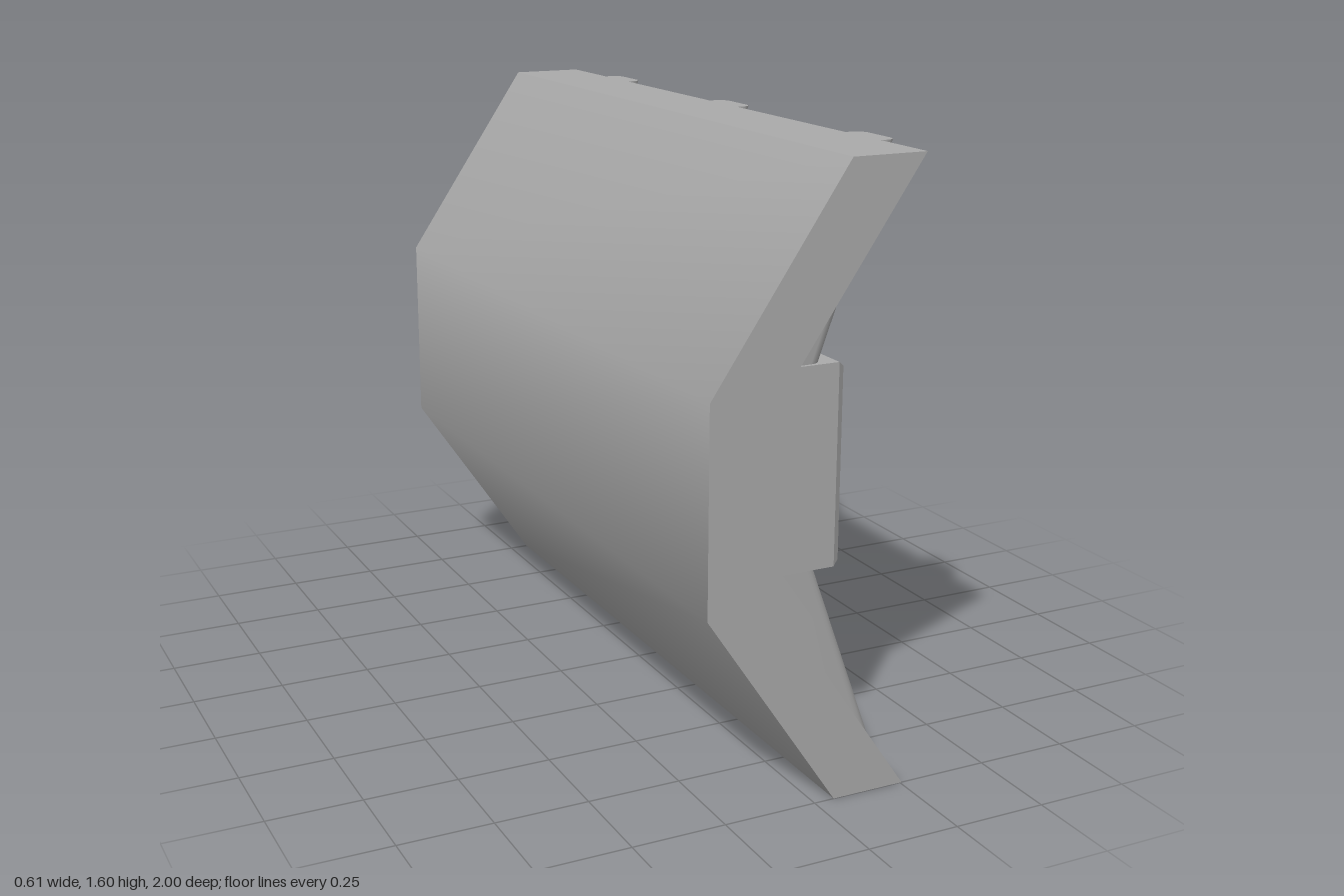
import * as THREE from 'three';
import { toCreasedNormals } from 'three/addons/utils/BufferGeometryUtils.js';

const H = 1.6, KNEE = 0.535;
const grey = new THREE.MeshStandardMaterial({ color: 0xaaaaaa });
grey.name = 'plain grey';

// Triangulates convex polygons; crease > 0 smooths edges below that angle.
function mesh(name, polys, crease = 0) {
  const pos = [];
  for (const p of polys) {
    for (let i = 1; i < p.length - 1; i++) pos.push(...p[0], ...p[i], ...p[i + 1]);
  }
  let geo = new THREE.BufferGeometry();
  geo.setAttribute('position', new THREE.Float32BufferAttribute(pos, 3));
  geo.computeVertexNormals();
  if (crease) geo = toCreasedNormals(geo, crease);
  const m = new THREE.Mesh(geo, grey);
  m.name = name;
  return m;
}

// Upside-down copy about mid height, with the corner order kept outward.
const flip = polys => polys.map(p => p.map(([x, y, z]) => [x, H - y, z]).reverse());

// Quads between successive closed loops of equal length.
function loft(loops) {
  const out = [];
  for (let k = 0; k < loops.length - 1; k++) {
    const a = loops[k], b = loops[k + 1], n = a.length;
    for (let i = 0; i < n; i++) out.push([a[i], a[(i + 1) % n], b[(i + 1) % n], b[i]]);
  }
  return out;
}

// Rectangle facing +x.
const rect = (x, y0, y1, z0, z1) => [[x, y0, z1], [x, y0, z0], [x, y1, z0], [x, y1, z1]];

// Rectangle on the lower sloped inner wall, sunk by depth d.
function slopeRect(s0, s1, z0, z1, d) {
  const at = (s, z) => [0.255 - 0.365 * s - 0.826 * d, KNEE * s - 0.563 * d, z];
  return [at(s0, z1), at(s0, z0), at(s1, z0), at(s1, z1)];
}

function wallShell() {
  const g = new THREE.Group();
  g.name = 'wallShell';

  // Outer skin, softly shaded over its two bends
  const back = [[0.055, 0], [-0.305, KNEE], [-0.305, H - KNEE], [0.055, H]];
  const skin = [];
  for (let i = 0; i < 3; i++) {
    const [x0, y0] = back[i], [x1, y1] = back[i + 1];
    skin.push([[x0, y0, -1], [x0, y0, 1], [x1, y1, 1], [x1, y1, -1]]);
  }
  g.add(mesh('outerSkin', skin, Math.PI / 2));

  // End faces and the top and bottom edges
  const ends = (pts) => [
    pts.map(([x, y]) => [x, y, 1]),
    pts.map(([x, y]) => [x, y, -1]).reverse(),
  ];
  const lowerEnds = ends([[0.055, 0], [0.255, 0], [-0.11, KNEE], [-0.305, KNEE]]);
  const midEnds = ends([[-0.305, KNEE], [-0.11, KNEE], [-0.11, H - KNEE], [-0.305, H - KNEE]]);
  const edge = [[0.055, 0, -1], [0.255, 0, -1], [0.255, 0, 1], [0.055, 0, 1]];
  const lower = [...lowerEnds, edge];
  g.add(mesh('edges', [...lower, ...flip(lower), ...midEnds]));

  // Inner walls: flat middle, sloped panels with a sunken bay
  g.add(mesh('middleWall', [rect(-0.11, KNEE, H - KNEE, -1, 1)]));
  const floor = slopeRect(0.485, 0.985, -0.5, 0.51, 0.05);
  const slope = [
    ...loft([
      slopeRect(0, 1, -1, 1, 0),
      slopeRect(0.475, 0.992, -0.52, 0.53, 0),
      floor,
    ]),
    floor,
  ];
  g.add(mesh('lowerInnerWall', slope));
  g.add(mesh('upperInnerWall', flip(slope)));
  return g;
}

// Rounded strut from the block to the top edge; the base is sunk into the wall
function strutPolys() {
  const ring = (y, backX, frontX) => {
    const half = [[backX, 0.08], [frontX - 0.03, 0.08], [frontX - 0.018, 0.078],
      [frontX - 0.006, 0.07], [frontX, 0.054]];
    const right = half.map(([x, z]) => [x, y, z]);
    const left = half.map(([x, z]) => [x, y, -z]).reverse();
    return [...right, ...left];
  };
  const low = ring(H - KNEE - 0.005, -0.19, 0.105);
  const high = ring(H, 0.175, 0.302);
  return [...loft([low, high]), high];
}

// Block with a chamfered frame and three overlapping slats
function blockMeshes() {
  const mid = H / 2;
  const r = (x, hy, hz) => rect(x, mid - hy, mid + hy, -hz, hz);
  const frame = loft([
    r(-0.13, 0.266, 0.09), r(0.152, 0.266, 0.09), r(0.17, 0.252, 0.079),
    r(0.17, 0.248, 0.075), r(0.145, 0.248, 0.075),
  ]);
  const slats = [];
  const ys = [mid - 0.248, 0.735, 0.9, mid + 0.248];
  for (let i = 0; i < 3; i++) {
    const face = rect(0.163, ys[i], ys[i + 1], -0.075, 0.075);
    face[2][0] = face[3][0] = 0.15;
    const riser = [[0.145, ys[i], 0.075], [0.145, ys[i], -0.075], face[1], face[0]];
    slats.push(face, riser);
  }
  return [mesh('blockFrame', frame), mesh('slats', slats)];
}

export function createModel() {
  const model = new THREE.Group();
  model.name = 'wallSegment';
  model.add(wallShell());

  const strut = strutPolys();
  for (const z of [0.722, 0.005, -0.69]) {
    const rib = new THREE.Group();
    rib.name = 'rib';
    rib.add(mesh('upperStrut', strut, 0.8), mesh('lowerStrut', flip(strut), 0.8), ...blockMeshes());
    rib.position.z = z;
    model.add(rib);
  }
  return model;
}
